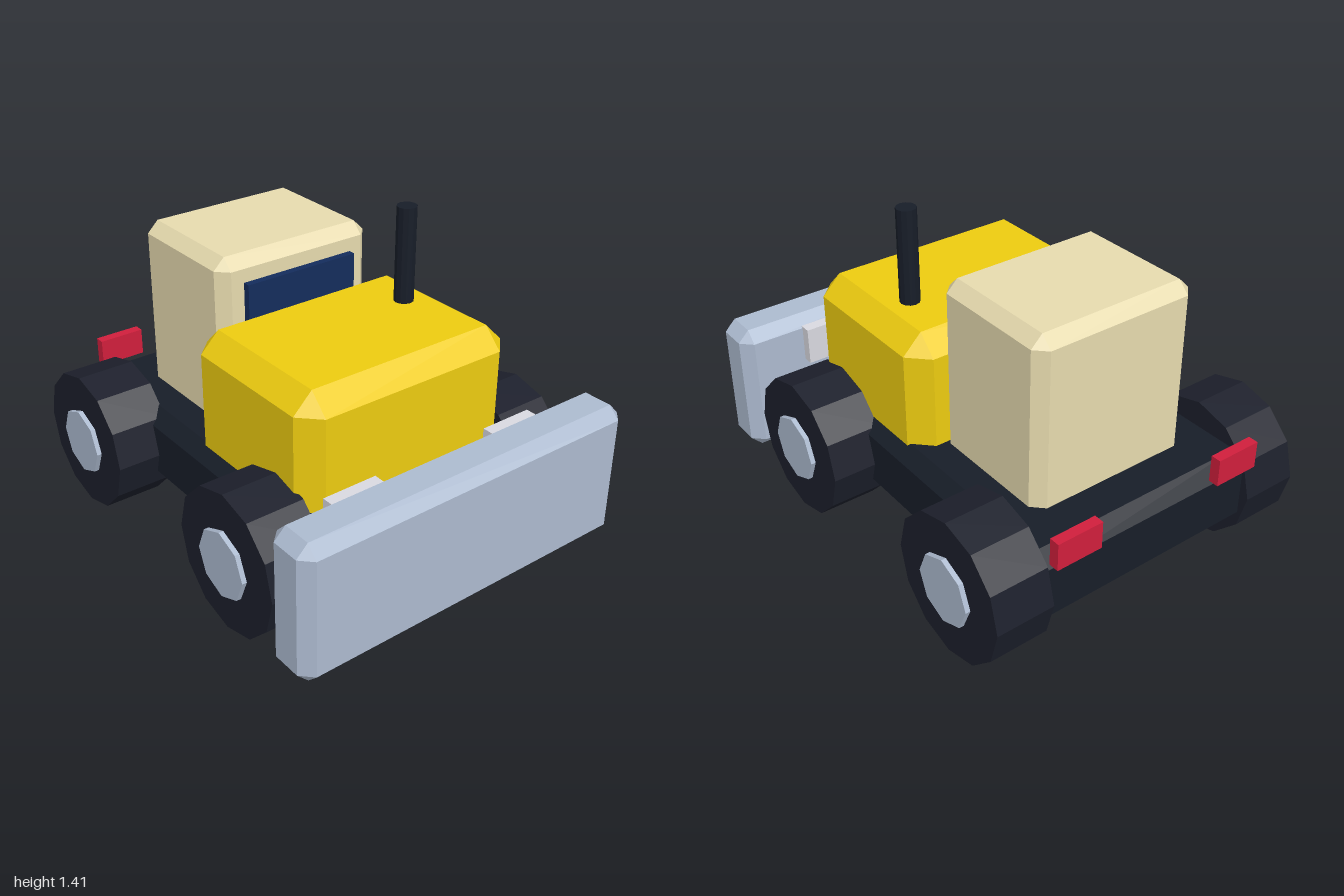
import * as THREE from 'three';
import { ConvexGeometry } from 'three/addons/geometries/ConvexGeometry.js';

const COLORS = {
  yellow: 0xeccb10, cream: 0xe6daae, steel: 0xacbacf, tire: 0x1c1f2b,
  chassis: 0x171d28, glass: 0x142c5c, red: 0xd01e3c, lamp: 0xd8d8df,
};
const materials = {};
for (const key in COLORS) {
  materials[key] = new THREE.MeshStandardMaterial({ color: COLORS[key], flatShading: true });
}

export function createModel() {
  const model = new THREE.Group();
  model.name = 'bulldozer';

  function add(name, geometry, material, parent = model) {
    const mesh = new THREE.Mesh(geometry, materials[material]);
    mesh.name = name;
    parent.add(mesh);
    return mesh;
  }

  // Box spanning the given [min, max] ranges; every edge is cut by chamfer c
  function block(name, material, x, y, z, c = 0) {
    const size = [x, y, z].map(([a, b]) => b - a);
    const mid = [x, y, z].map(([a, b]) => (a + b) / 2);
    let geometry;
    if (c === 0) {
      geometry = new THREE.BoxGeometry(...size);
    } else {
      const points = [];
      for (const sx of [-1, 1]) for (const sy of [-1, 1]) for (const sz of [-1, 1]) {
        for (let axis = 0; axis < 3; axis++) {
          const h = size.map((s, i) => s / 2 - (i === axis ? 0 : c));
          points.push(new THREE.Vector3(sx * h[0], sy * h[1], sz * h[2]));
        }
      }
      geometry = new ConvexGeometry(points);
    }
    add(name, geometry, material).position.set(...mid);
  }

  // Body
  block('chassis', 'chassis', [-0.57, 0.57], [0.16, 0.505], [-0.945, 0.69], 0.06);
  block('hood', 'yellow', [-0.52, 0.52], [0.41, 1.0], [-0.147, 0.633], 0.085);
  block('cab', 'cream', [-0.38, 0.38], [0.45, 1.247], [-0.725, -0.117], 0.05);
  block('windshield', 'glass', [-0.27, 0.27], [0.85, 1.137], [-0.13, -0.085]);
  block('blade', 'steel', [-0.807, 0.807], [0.1, 0.705], [0.773, 1.0], 0.05);

  // Exhaust pipe, on the model's left
  add('exhaust', new THREE.CylinderGeometry(0.043, 0.043, 0.515, 12), 'chassis')
    .position.set(0.33, 1.157, 0.17);

  for (const side of [-1, 1]) {
    const label = side > 0 ? 'left' : 'right';
    const span = (a, b) => (side > 0 ? [a, b] : [-b, -a]);

    // Lamps
    block(label + 'Headlight', 'lamp', span(0.277, 0.52), [0.495, 0.663], [0.727, 0.785]);
    block(label + 'TailLight', 'red', span(0.297, 0.505), [0.485, 0.605], [-1.0, -0.955]);

    // Wheels
    for (const [end, z] of [['Front', 0.434], ['Rear', -0.679]]) {
      const wheel = new THREE.Group();
      wheel.name = label + end + 'Wheel';
      wheel.position.set(side * 0.634, 0.31, z);
      model.add(wheel);
      const tire = new THREE.CylinderGeometry(0.31, 0.31, 0.258, 12).rotateZ(Math.PI / 2);
      add('tire', tire, 'tire', wheel);
      const hub = new THREE.CylinderGeometry(0.148, 0.148, 0.1, 8).rotateZ(Math.PI / 2);
      add('hub', hub, 'steel', wheel).position.x = side * 0.1;
    }
  }
  return model;
}
